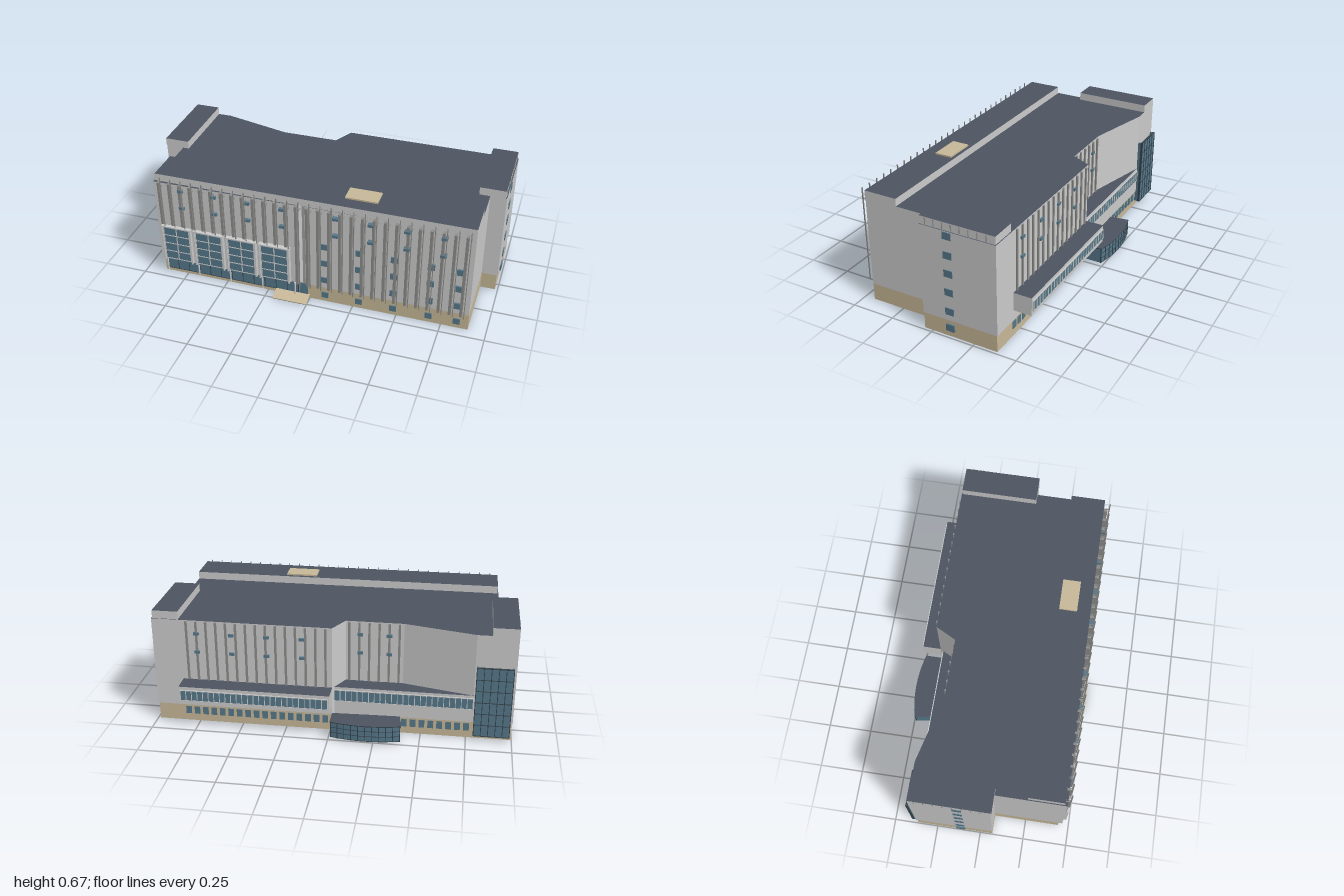
import * as THREE from 'three';

const mat = (color) => new THREE.MeshStandardMaterial({ color, side: THREE.DoubleSide });
const WALL = mat(0xcccccc), TAN = mat(0xc8b998), ROOF = mat(0x4d5562);
const GLASS = mat(0x56788a), FIN = mat(0x8c8c8a), DARK = mat(0x36444e);

export function createModel() {
  const model = new THREE.Group();
  const group = (name) => {
    const g = new THREE.Group();
    g.name = name;
    model.add(g);
    return g;
  };
  // Box given by its limits on each axis
  const box = (parent, name, m, x0, x1, y0, y1, z0, z1) => {
    const b = new THREE.Mesh(new THREE.BoxGeometry(x1 - x0, y1 - y0, z1 - z0), m);
    b.position.set((x0 + x1) / 2, (y0 + y1) / 2, (z0 + z1) / 2);
    b.name = name;
    parent.add(b);
    return b;
  };
  // Vertical prism over a plan outline of [x, z] corners
  const prism = (parent, name, plan, y0, y1, side, cap) => {
    const shape = new THREE.Shape(plan.map(([x, z]) => new THREE.Vector2(x, -z)));
    const geo = new THREE.ExtrudeGeometry(shape, { depth: y1 - y0, bevelEnabled: false });
    geo.rotateX(-Math.PI / 2);
    const p = new THREE.Mesh(geo, [cap, side]);
    p.position.y = y0;
    p.name = name;
    parent.add(p);
  };
  const rect = (x0, x1, z0, z1) => [[x0, z1], [x1, z1], [x1, z0], [x0, z0]];
  // Glass panel facing z with a grid of bars on both faces
  const glazing = (parent, name, x0, x1, y0, y1, z, cols, rows, bar = WALL, w = 0.005) => {
    box(parent, name, GLASS, x0, x1, y0, y1, z - 0.004, z + 0.004);
    for (let i = 0; i <= cols; i++) {
      const x = x0 + (x1 - x0) * i / cols;
      box(parent, 'mullion', bar, x - w / 2, x + w / 2, y0, y1, z - 0.007, z + 0.007);
    }
    for (let j = 0; j <= rows; j++) {
      const y = y0 + (y1 - y0) * j / rows;
      box(parent, 'transom', bar, x0, x1, y - w / 2, y + w / 2, z - 0.006, z + 0.006);
    }
  };

  // Main masses
  const body = group('buildingBody');
  prism(body, 'plinth', [[-0.89, 0.44], [0.9, 0.44], [0.9, 0.05], [0.985, 0.05], [0.985, -0.385],
    [-0.01, -0.385], [-0.01, -0.365], [-0.995, -0.365], [-0.995, 0.07], [-0.89, 0.07]], 0, 0.1, TAN, TAN);
  prism(body, 'upperWalls', [[-0.895, 0.46], [-0.06, 0.45], [-0.04, 0.435], [-0.02, 0.448], [0.9, 0.442],
    [0.9, 0.05], [0.99, 0.05], [0.99, -0.39], [-0.01, -0.39], [-0.07, -0.275], [-0.39, -0.275],
    [-0.78, -0.37], [-1, -0.37], [-1, 0.07], [-0.895, 0.07]], 0.1, 0.62, WALL, ROOF);
  prism(body, 'frontRoofStep', rect(-0.89, 0.9, 0.25, 0.445), 0.62, 0.663, WALL, ROOF);
  prism(body, 'leftRoofBlock', rect(0.84, 0.985, -0.385, 0.05), 0.62, 0.665, WALL, ROOF);
  prism(body, 'rightRoofBlock', rect(-1, -0.86, -0.37, 0.075), 0.62, 0.665, WALL, ROOF);
  box(body, 'roofHatch', TAN, 0.18, 0.36, 0.66, 0.672, 0.27, 0.37);
  for (let i = 0; i < 8; i++) {
    const z = -0.335 + i * 0.05;
    box(body, 'parapetJoint', FIN, 0.985, 0.988, 0.625, 0.663, z - 0.002, z + 0.002);
    box(body, 'parapetJoint', FIN, -1.002, -1, 0.625, 0.663, z - 0.002, z + 0.002);
  }

  // Front fins and slender poles that rise past the roof edge
  const fins = group('facadeFins');
  for (let i = 0; i < 29; i++) {
    const x = -0.865 + i * 0.0615;
    if (Math.abs(x + 0.04) < 0.02) continue;
    const y0 = x < -0.08 ? 0.345 : 0.1;
    box(fins, 'frontFin', FIN, x - 0.007, x + 0.007, y0, 0.62, 0.44, 0.468);
    box(fins, 'frontPole', FIN, x + 0.018, x + 0.022, y0, 0.662, 0.474, 0.481);
    box(fins, 'poleBracket', FIN, x + 0.018, x + 0.022, 0.6, 0.605, 0.44, 0.476);
  }
  // Rear fins, on the straight wall and in the recess
  for (let x = 0.025; x < 0.82; x += 0.055)
    box(fins, 'rearFin', FIN, x - 0.006, x + 0.006, 0.265, 0.615, -0.398, -0.38);
  for (let x = -0.365; x < -0.08; x += 0.055)
    box(fins, 'recessFin', FIN, x - 0.006, x + 0.006, 0.265, 0.615, -0.284, -0.27);

  // Small punched windows
  const windows = group('smallWindows');
  const frontWindow = (x, y, w, h, z, d = 0.01) =>
    box(windows, 'window', GLASS, x - w / 2, x + w / 2, y - h / 2, y + h / 2, z - d, z + d);
  for (const x of [0.09, 0.285, 0.48, 0.68, 0.835])
    for (const y of [0.045, 0.155, 0.27, 0.38]) frontWindow(x, y, 0.038, 0.036, y < 0.1 ? 0.436 : 0.443);
  for (const y of [0.475, 0.585]) {
    for (const x of [-0.735, -0.54, -0.345, -0.145]) frontWindow(x, y, 0.032, 0.016, 0.455, 0.015);
    for (const x of [0.155, 0.35, 0.545, 0.74]) {
      frontWindow(x, y, 0.032, 0.016, 0.455, 0.015);
      frontWindow(x, y - 0.04, 0.03, 0.016, -0.39);
    }
    for (const x of [-0.15, -0.31]) frontWindow(x, y - 0.04, 0.03, 0.016, -0.276);
  }
  for (const y of [0.055, 0.155, 0.27, 0.38, 0.485, 0.595]) {
    box(windows, 'leftEndWindow', GLASS, 0.97, 0.994, y - 0.02, y + 0.02, -0.137, -0.087);
    box(windows, 'rightEndWindow', GLASS, -1.003, -0.98, y - 0.02, y + 0.02, -0.137, -0.087);
  }

  // Four large framed windows above a glazed ground floor with posts
  const hall = group('hallWindows');
  for (let i = 0; i < 4; i++) {
    const x = -0.86 + i * 0.196;
    glazing(hall, 'hallWindow', x, x + 0.155, 0.115, 0.33, 0.467, 2, 4);
    for (const e of [x - 0.012, x + 0.159])
      box(hall, 'frameSide', WALL, e, e + 0.008, 0.105, 0.34, 0.45, 0.48);
    box(hall, 'frameHead', WALL, x - 0.012, x + 0.167, 0.332, 0.34, 0.45, 0.48);
  }
  glazing(hall, 'groundGlazing', -0.87, -0.065, 0.025, 0.098, 0.441, 12, 1, DARK, 0.003);
  for (let i = 0; i < 5; i++) {
    const post = new THREE.Mesh(new THREE.CylinderGeometry(0.005, 0.005, 0.085, 8), WALL);
    post.position.set(-0.865 + i * 0.196, 0.06, 0.457);
    post.name = 'post';
    hall.add(post);
  }

  // Entrance door and sloping ramp
  const entrance = group('entrance');
  box(entrance, 'door', GLASS, -0.06, -0.01, 0.02, 0.1, 0.43, 0.446);
  const ramp = box(entrance, 'ramp', TAN, -0.2, 0, 0.011, 0.017, 0.444, 0.51);
  ramp.rotation.x = 0.38;
  box(entrance, 'landing', TAN, -0.2, 0, 0.018, 0.026, 0.43, 0.455);

  // Rear projecting gallery
  const gallery = group('rearGallery');
  prism(gallery, 'galleryBox', rect(-0.01, 0.83, -0.495, -0.385), 0.16, 0.265, WALL, ROOF);
  glazing(gallery, 'galleryWindows', 0.0, 0.82, 0.185, 0.245, -0.496, 26, 1, WALL, 0.004);
  // Low wedge with ribbon windows in front of the recessed wall
  prism(gallery, 'ribbonStorey', [[-0.01, -0.372], [-0.79, -0.372], [-0.39, -0.27], [-0.07, -0.27],
    [-0.01, -0.36]], 0.1, 0.262, WALL, ROOF);
  glazing(gallery, 'ribbonWindows', -0.78, -0.02, 0.18, 0.245, -0.373, 24, 1, WALL, 0.004);
  // Plinth windows along the rear
  for (let i = 0; i < 17; i++) frontWindow(0.03 + i * 0.049, 0.065, 0.032, 0.045, -0.383, 0.005);
  for (let i = 0; i < 15; i++) frontWindow(-0.75 + i * 0.049, 0.065, 0.032, 0.045, -0.364, 0.005);

  // Tall stair glazing at the rear corner
  const stair = group('stairGlazing');
  glazing(stair, 'stairGlass', -0.985, -0.79, 0.03, 0.44, -0.394, 5, 6, DARK, 0.004);
  box(stair, 'stairReturn', GLASS, -0.985, -0.98, 0.03, 0.44, -0.392, -0.365);
  box(stair, 'stairReturn', GLASS, -0.795, -0.79, 0.03, 0.44, -0.392, -0.365);

  // Curved glass pavilion
  const pavilion = group('pavilion');
  const arc = [];
  for (let i = 0; i <= 10; i++) {
    const t = i / 5 - 1;
    arc.push([-0.205 + t * 0.19, -0.512 + 0.025 * t * t]);
  }
  const plan = [[-0.015, -0.39], [-0.2, -0.383], [-0.38, -0.378], ...arc];
  prism(pavilion, 'pavilionGlass', plan, 0.012, 0.103, GLASS, DARK);
  const eaves = plan.map(([x, z]) => [-0.2 + (x + 0.2) * 1.03, z < -0.4 ? z - 0.003 : z]);
  prism(pavilion, 'pavilionRoof', eaves, 0.103, 0.108, DARK, ROOF);
  for (const [x, z] of arc)
    box(pavilion, 'pavilionMullion', DARK, x - 0.002, x + 0.002, 0.012, 0.104, z - 0.003, z + 0.003);
  for (const y of [0.012, 0.042, 0.073])
    prism(pavilion, 'pavilionTransom', plan.map(([x, z]) => [x, z < -0.4 ? z - 0.002 : z]), y, y + 0.003, DARK, DARK);

  return model;
}
